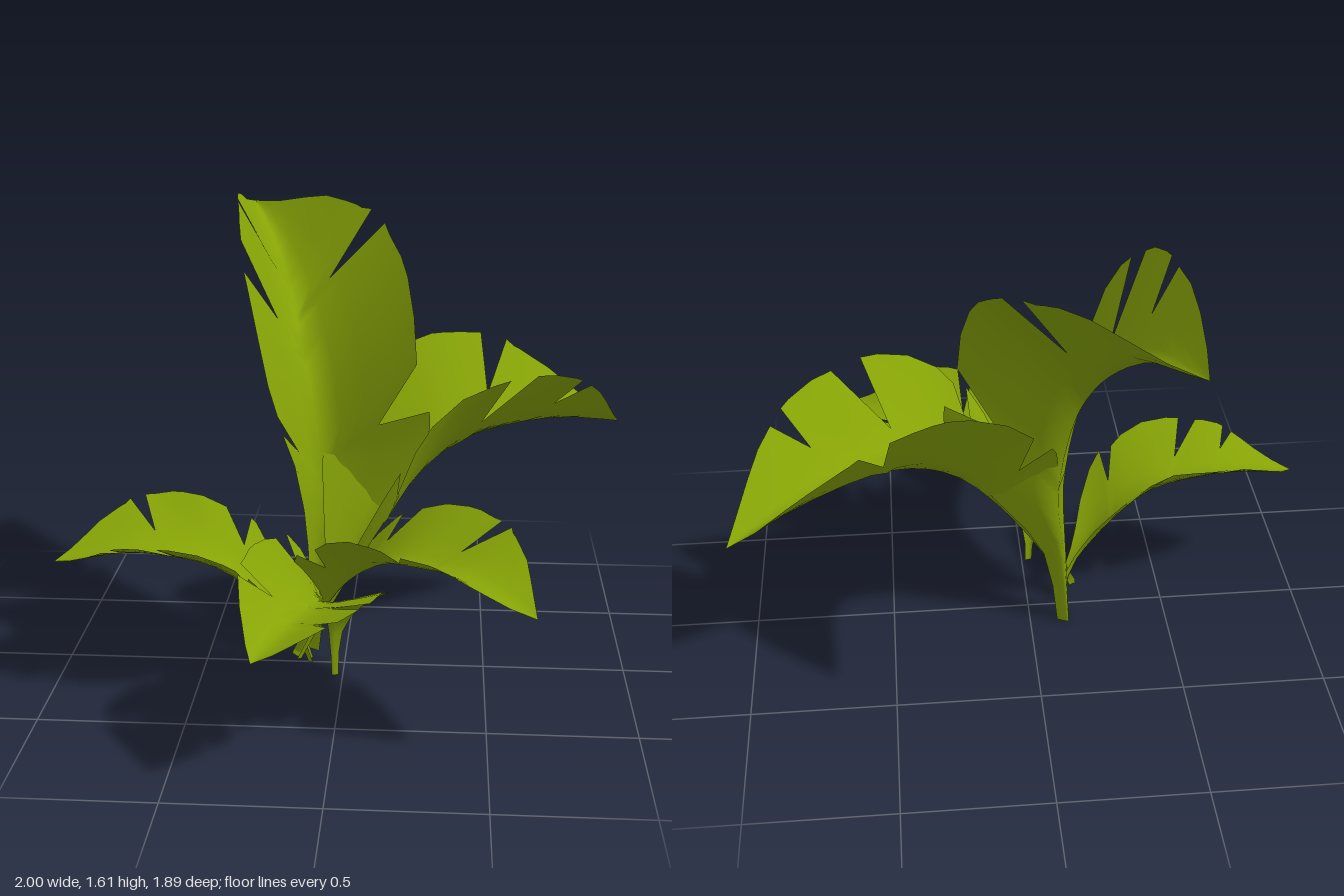
import * as THREE from 'three';

// Leaf outline rows: distance along the rib, width of one half, width of the other half
const OUTLINE = [
  [0, .11, .11], [.08, .13, .13], [.15, .2, .19], [.19, .34, .3], [.23, .6, .52],
  [.27, .86, .78], [.31, .98, .92], [.33, .52, .94], [.355, .92, .54], [.4, .97, .92],
  [.46, 1, .97], [.51, 1, 1], [.54, .98, 1], [.56, .4, .98], [.59, .92, .95],
  [.62, .9, .93], [.64, .87, .38], [.67, .83, .86], [.7, .79, .79], [.72, .42, .76],
  [.75, .7, .7], [.81, .58, .58], [.87, .42, .42], [.94, .22, .22], [1, 0, 0],
];
const HALF = 4; // columns on each side of the rib

// A folded, torn leaf swept along its rib; veins lean towards the tip
function leafGeometry({ rib: points, size, fold, roll, swap }) {
  const rib = new THREE.CatmullRomCurve3(points.map(p => new THREE.Vector3(...p)));
  const up = new THREE.Vector3(0, 1, 0);
  const heading = rib.getPoint(1).sub(rib.getPoint(0)).setY(0).normalize();
  const level = new THREE.Vector3().crossVectors(heading, up);
  const positions = [], index = [];
  const columns = HALF * 2 + 1;
  for (const [t, a, b] of OUTLINE) {
    const centre = rib.getPointAt(t);
    const along = rib.getTangentAt(t);
    const side = level.clone().addScaledVector(along, -level.dot(along)).normalize()
      .applyAxisAngle(along, roll * (1 - 0.6 * t));
    const normal = new THREE.Vector3().crossVectors(side, along).normalize();
    // The stalk is a deep channel that opens out into the blade
    const open = THREE.MathUtils.smoothstep(t, 0.05, 0.3);
    const angle = THREE.MathUtils.lerp(1.05, fold, open);
    const bend = THREE.MathUtils.lerp(0.012, 0.045, open);
    const sweep = 0.55 * open * Math.min(1, (1 - t) * 3);
    for (let c = -HALF; c <= HALF; c++) {
      const s = size * ((c < 0) === swap ? a : b) * c / HALF;
      const lift = Math.hypot(s, bend) - bend;
      const p = centre.clone()
        .addScaledVector(side, s * 0.92 * Math.cos(angle))
        .addScaledVector(normal, lift * Math.sin(angle))
        .addScaledVector(along, Math.abs(s) * sweep);
      positions.push(p.x, p.y, p.z);
    }
  }
  for (let r = 0; r < OUTLINE.length - 1; r++) {
    for (let c = 0; c < columns - 1; c++) {
      const i = r * columns + c, j = i + columns;
      index.push(i, i + 1, j + 1, i, j + 1, j);
    }
  }
  const geometry = new THREE.BufferGeometry();
  geometry.setAttribute('position', new THREE.Float32BufferAttribute(positions, 3));
  geometry.setIndex(index);
  geometry.computeVertexNormals();
  return geometry;
}

// Rib paths, from the foot of the stalk to the leaf tip
const LEAVES = [
  { name: 'tallBackLeaf', size: .49, fold: .85, roll: .24, swap: true, rib: [
    [-.14, 0, -.11], [-.12, .3, -.12], [-.09, .6, -.16], [-.13, .93, -.22],
    [-.18, 1.12, -.32], [-.24, 1.3, -.5], [-.3, 1.41, -.65], [-.41, 1.52, -.95]] },
  { name: 'leftBackLeaf', size: .43, fold: .76, roll: .08, swap: false, rib: [
    [-.15, .04, .06], [-.02, .28, .02], [.13, .52, -.05], [.27, .7, -.14],
    [.42, .79, -.22], [.6, .82, -.32], [.8, .81, -.44], [1, .76, -.57]] },
  { name: 'rightLeaf', size: .28, fold: .5, roll: -.2, swap: true, rib: [
    [-.13, .01, .02], [-.17, .13, .05], [-.25, .24, .08], [-.35, .35, .1],
    [-.45, .42, .12], [-.6, .46, .13], [-.76, .47, .14], [-1, .435, .17]] },
  { name: 'leftFrontLeaf', size: .31, fold: .47, roll: 0, swap: false, rib: [
    [-.16, .04, .05], [-.06, .26, .1], [.04, .41, .19], [.15, .5, .28],
    [.3, .54, .4], [.45, .55, .52], [.64, .5, .7]] },
  { name: 'frontLeaf', size: .28, fold: .6, roll: -.45, swap: true, rib: [
    [-.03, .05, .21], [-.035, .17, .21], [-.04, .28, .22], [-.05, .36, .3],
    [-.07, .42, .42], [-.1, .45, .56], [-.15, .46, .74], [-.22, .44, .94]] },
];

export function createModel() {
  const group = new THREE.Group();
  group.name = 'broadLeafPlant';
  const leafGreen = new THREE.MeshStandardMaterial({ color: 0x87a406, side: THREE.DoubleSide });
  leafGreen.name = 'leafGreen';
  for (const spec of LEAVES) {
    const leaf = new THREE.Mesh(leafGeometry(spec), leafGreen);
    leaf.name = spec.name;
    group.add(leaf);
  }
  return group;
}
